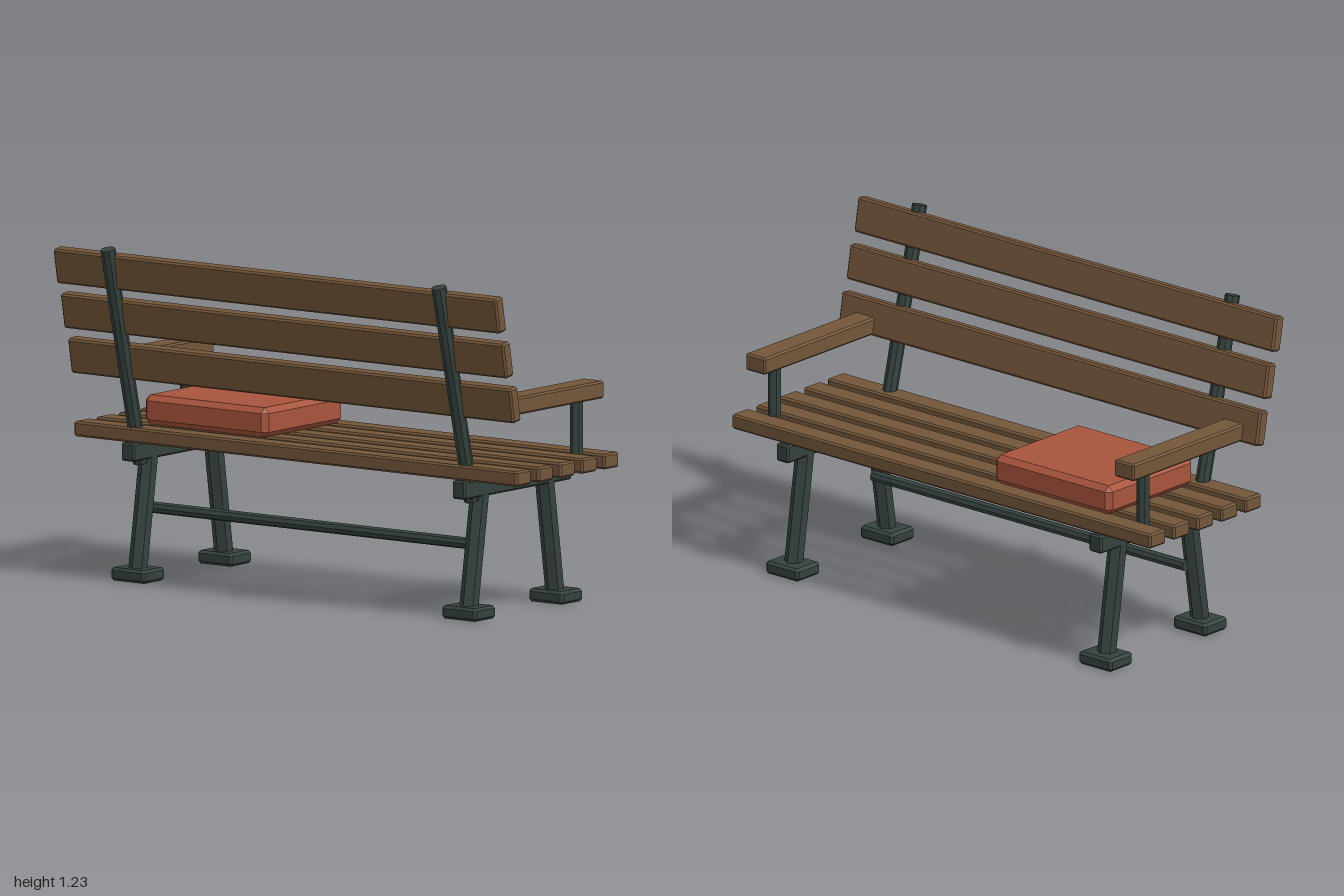
import * as THREE from 'three';
import { ConvexGeometry } from 'three/addons/geometries/ConvexGeometry.js';

const material = (name, color) => {
  const m = new THREE.MeshStandardMaterial({ color });
  m.name = name;
  return m;
};

// Box with flat chamfered edges
function chamferBox(w, h, d, c) {
  const points = [];
  for (const x of [-1, 1]) for (const y of [-1, 1]) for (const z of [-1, 1]) {
    const [X, Y, Z] = [x * w / 2, y * h / 2, z * d / 2];
    points.push(
      new THREE.Vector3(X, Y - y * c, Z - z * c),
      new THREE.Vector3(X - x * c, Y, Z - z * c),
      new THREE.Vector3(X - x * c, Y - y * c, Z)
    );
  }
  return new ConvexGeometry(points);
}

export function createModel() {
  const group = new THREE.Group();
  group.name = 'parkBench';
  const wood = material('brown wood', 0x73563a);
  const metal = material('dark green iron', 0x35423e);
  const fabric = material('terracotta fabric', 0xa8543c);
  for (const m of [metal]) m.flatShading = true;

  const box = (name, mat, size, pos, chamfer = 0.007, tilt = 0) => {
    const mesh = new THREE.Mesh(chamferBox(...size, chamfer), mat);
    mesh.name = name;
    mesh.position.set(...pos);
    mesh.rotation.x = tilt;
    group.add(mesh);
  };

  // Straight bar between two points
  const bar = (name, a, b, radius, sides) => {
    const from = new THREE.Vector3(...a), to = new THREE.Vector3(...b);
    const dir = to.clone().sub(from);
    const mesh = new THREE.Mesh(new THREE.CylinderGeometry(radius, radius, dir.length(), sides), metal);
    mesh.name = name;
    mesh.position.copy(from).add(to).multiplyScalar(0.5);
    mesh.quaternion.setFromUnitVectors(new THREE.Vector3(0, 1, 0), dir.normalize());
    group.add(mesh);
  };

  // Seat slats
  for (let i = 0; i < 5; i++)
    box('seatSlat', wood, [2, 0.055, 0.088], [0, 0.535, 0.192 - i * 0.13]);

  // Backrest slats, leaning back
  for (let i = 0; i < 3; i++)
    box('backSlat', wood, [2, 0.129, 0.047], [0, 0.806 + i * 0.168, 0.24 + i * 0.043], 0.007, 0.18);

  for (const s of [-1, 1]) {
    const x = s * 0.747;
    // Iron frame
    box('seatRail', metal, [0.06, 0.067, 0.635], [x, 0.474, -0.068]);
    bar('backPost', [x, 0.427, 0.171], [x, 1.225, 0.364], 0.0275, 8);
    bar('rearLeg', [x, 0.03, 0.189], [x, 0.46, 0.122], 0.0345, 6);
    bar('frontLeg', [x, 0.03, -0.323], [x, 0.46, -0.259], 0.0345, 6);
    box('rearFoot', metal, [0.156, 0.048, 0.126], [x, 0.026, 0.188], 0.01);
    box('frontFoot', metal, [0.156, 0.048, 0.126], [x, 0.026, -0.326], 0.01);
    // Armrests
    box('armrest', wood, [0.094, 0.064, 0.635], [s * 0.88, 0.781, -0.0625]);
    bar('armrestPost', [s * 0.88, 0.53, -0.274], [s * 0.88, 0.76, -0.274], 0.0235, 6);
  }

  // Stretcher between the rear legs
  bar('stretcher', [-0.747, 0.26, 0.114], [0.747, 0.26, 0.114], 0.021, 8);

  // Seat cushion
  box('cushion', fabric, [0.556, 0.108, 0.465], [-0.479, 0.616, -0.086], 0.02);

  return group;
}
